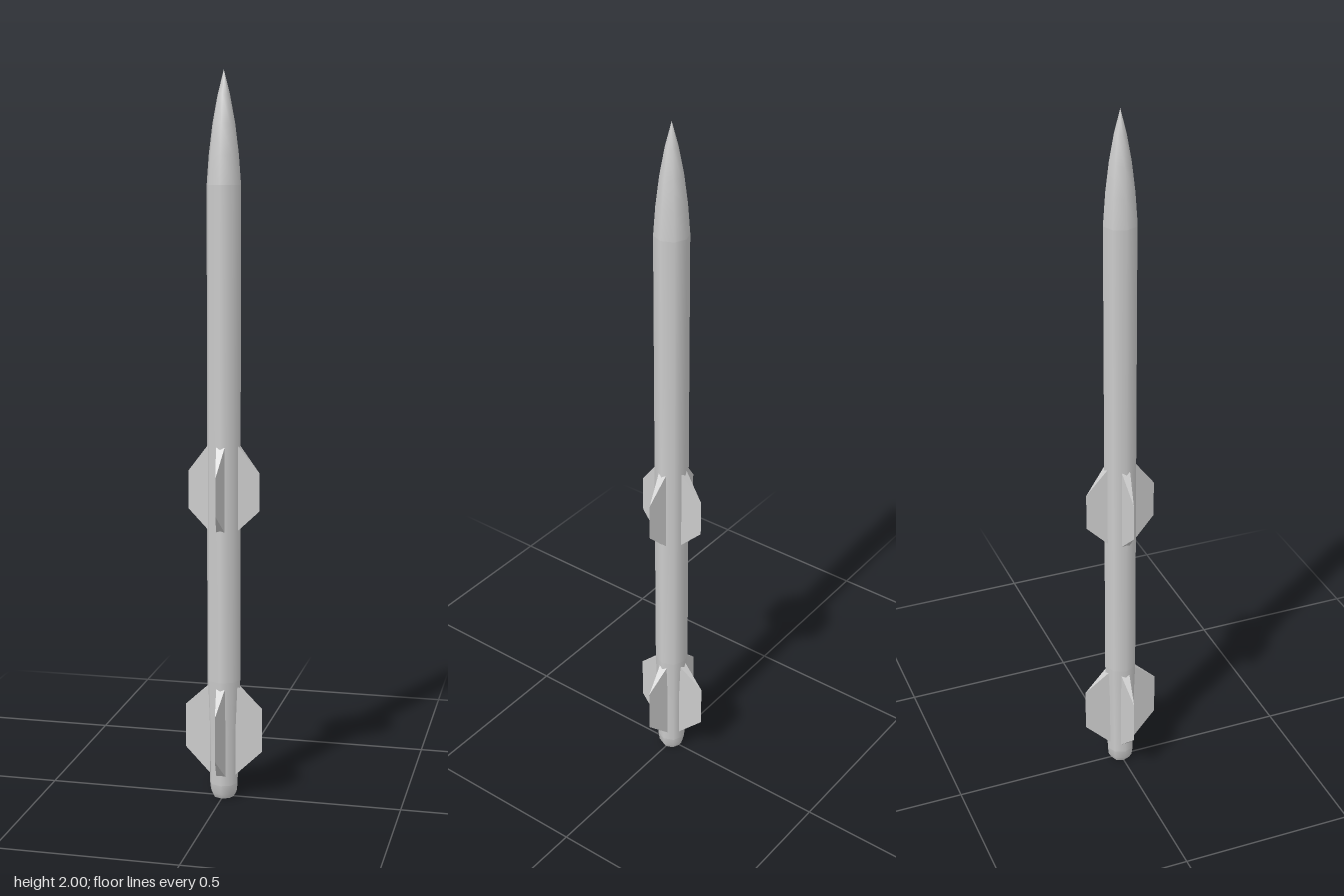
import * as THREE from 'three';

const SIDES = 8;
const smooth = new THREE.MeshStandardMaterial({ color: 0xcccccc });
const faceted = new THREE.MeshStandardMaterial({ color: 0xcccccc, flatShading: true });

// Eight-sided turned section, profile given as [radius, y] from bottom to top
function turned(name, profile) {
  const points = profile.map(([r, y]) => new THREE.Vector2(r, y));
  const mesh = new THREE.Mesh(new THREE.LatheGeometry(points, SIDES), smooth);
  mesh.name = name;
  return mesh;
}

// Wedge fin pointing along +x: rectangular root narrowing to a knife-edge tip
function finGeometry({ root, tip, y0, y1, tipY0, tipY1, t }) {
  const a = [root, y0, t], d = [root, y1, t];
  const a2 = [root, y0, -t], d2 = [root, y1, -t];
  const b = [tip, tipY0, 0], c = [tip, tipY1, 0];
  const triangles = [
    a, b, c, a, c, d,         // one side
    b, a2, d2, b, d2, c,      // other side
    a2, b, a,                 // trailing face
    d, c, d2,                 // leading face
    a, d, d2, a, d2, a2,      // root
  ];
  const geometry = new THREE.BufferGeometry();
  geometry.setAttribute('position', new THREE.Float32BufferAttribute(triangles.flat(), 3));
  geometry.computeVertexNormals();
  return geometry;
}

// Four fins around the body
function finSet(name, spec) {
  const set = new THREE.Group();
  set.name = name;
  const geometry = finGeometry(spec);
  for (let i = 0; i < 4; i++) {
    const fin = new THREE.Mesh(geometry, faceted);
    fin.name = 'fin';
    fin.rotation.y = i * Math.PI / 2;
    set.add(fin);
  }
  return set;
}

export function createModel() {
  const model = new THREE.Group();
  model.name = 'missile';

  // Body sections from tail to tip
  model.add(
    turned('nozzle', [[0.029, 0], [0.037, 0.015], [0.04, 0.04]]),
    turned('tailSection', [[0.04, 0.04], [0.042, 0.2], [0.047, 0.34]]),
    turned('body', [[0.047, 0.34], [0.047, 1.7]]),
    turned('noseCone', [[0.047, 1.7], [0.041, 1.78], [0.031, 1.86], [0.017, 1.935], [0, 2]]),
  );

  const base = new THREE.Mesh(new THREE.CircleGeometry(0.029, SIDES), faceted);
  base.name = 'nozzleBase';
  base.rotation.x = Math.PI / 2;
  model.add(base);

  // Wings at mid-body and larger fins at the tail
  model.add(
    finSet('midFins', { root: 0.042, tip: 0.1, y0: 0.765, y1: 1.0, tipY0: 0.82, tipY1: 0.925, t: 0.012 }),
    finSet('tailFins', { root: 0.037, tip: 0.109, y0: 0.068, y1: 0.325, tipY0: 0.135, tipY1: 0.26, t: 0.013 }),
  );
  return model;
}
